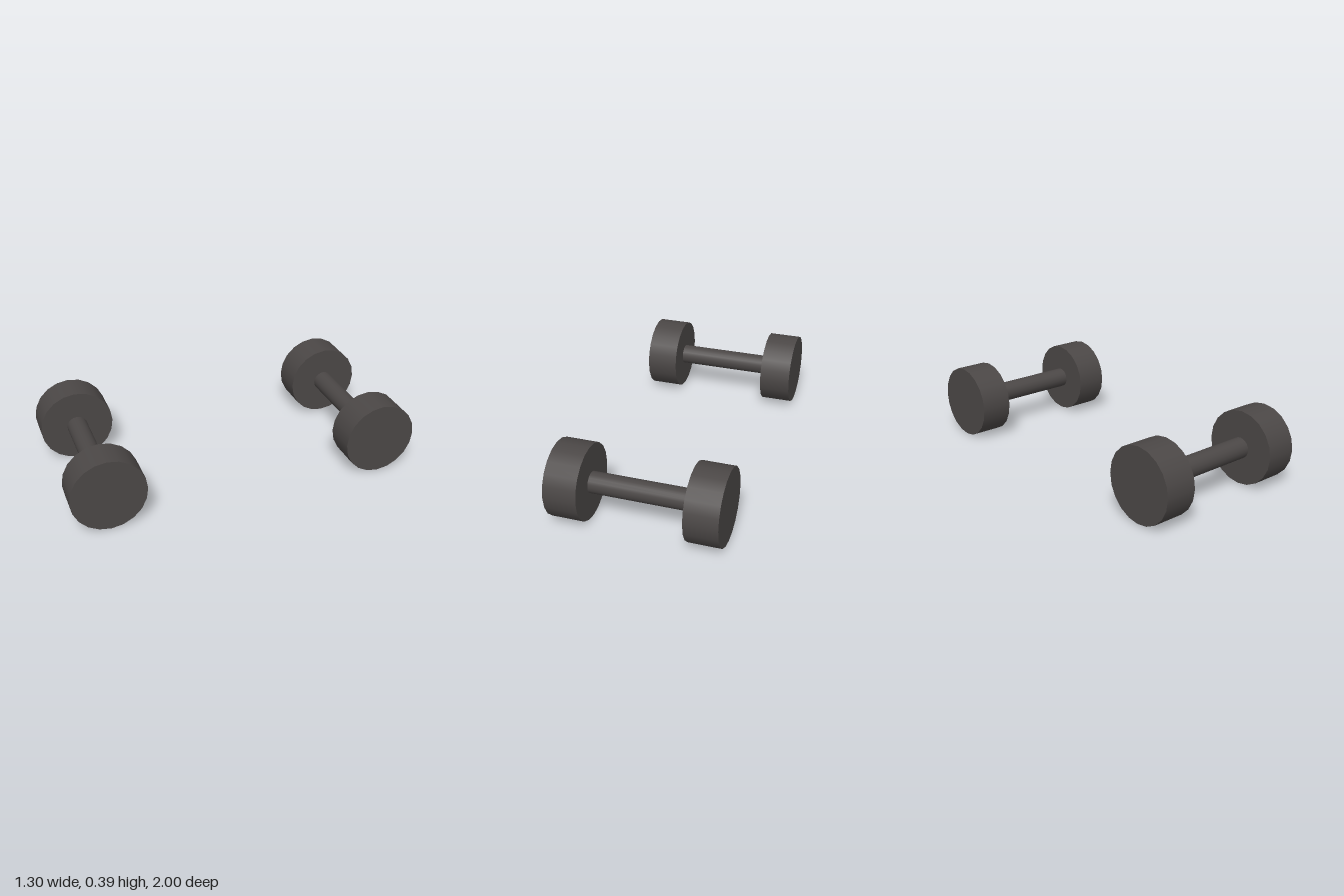
import * as THREE from 'three';

export function createModel() {
  const model = new THREE.Group();
  model.name = 'dumbbellPair';
  const iron = new THREE.MeshStandardMaterial({ color: 0x4b4746 });
  iron.name = 'dark iron';

  const radius = 0.193, weightLength = 0.168, weightOffset = 0.342;

  // Cylinders lie along the local x axis
  const weightGeometry = new THREE.CylinderGeometry(radius, radius, weightLength, 20).rotateZ(Math.PI / 2);
  const barGeometry = new THREE.CylinderGeometry(0.054, 0.054, weightOffset * 2, 20).rotateZ(Math.PI / 2);

  function addPart(parent, name, geometry, x) {
    const mesh = new THREE.Mesh(geometry, iron);
    mesh.name = name;
    mesh.position.x = x;
    parent.add(mesh);
  }

  // Two parallel dumbbells, turned slightly on the floor
  for (const side of [-1, 1]) {
    const dumbbell = new THREE.Group();
    dumbbell.name = side < 0 ? 'frontDumbbell' : 'backDumbbell';
    addPart(dumbbell, 'handleBar', barGeometry, 0);
    addPart(dumbbell, 'rightWeight', weightGeometry, -weightOffset);
    addPart(dumbbell, 'leftWeight', weightGeometry, weightOffset);
    dumbbell.position.set(side * 0.19, radius, -side * 0.703);
    dumbbell.rotation.y = -Math.PI / 12;
    model.add(dumbbell);
  }
  return model;
}
